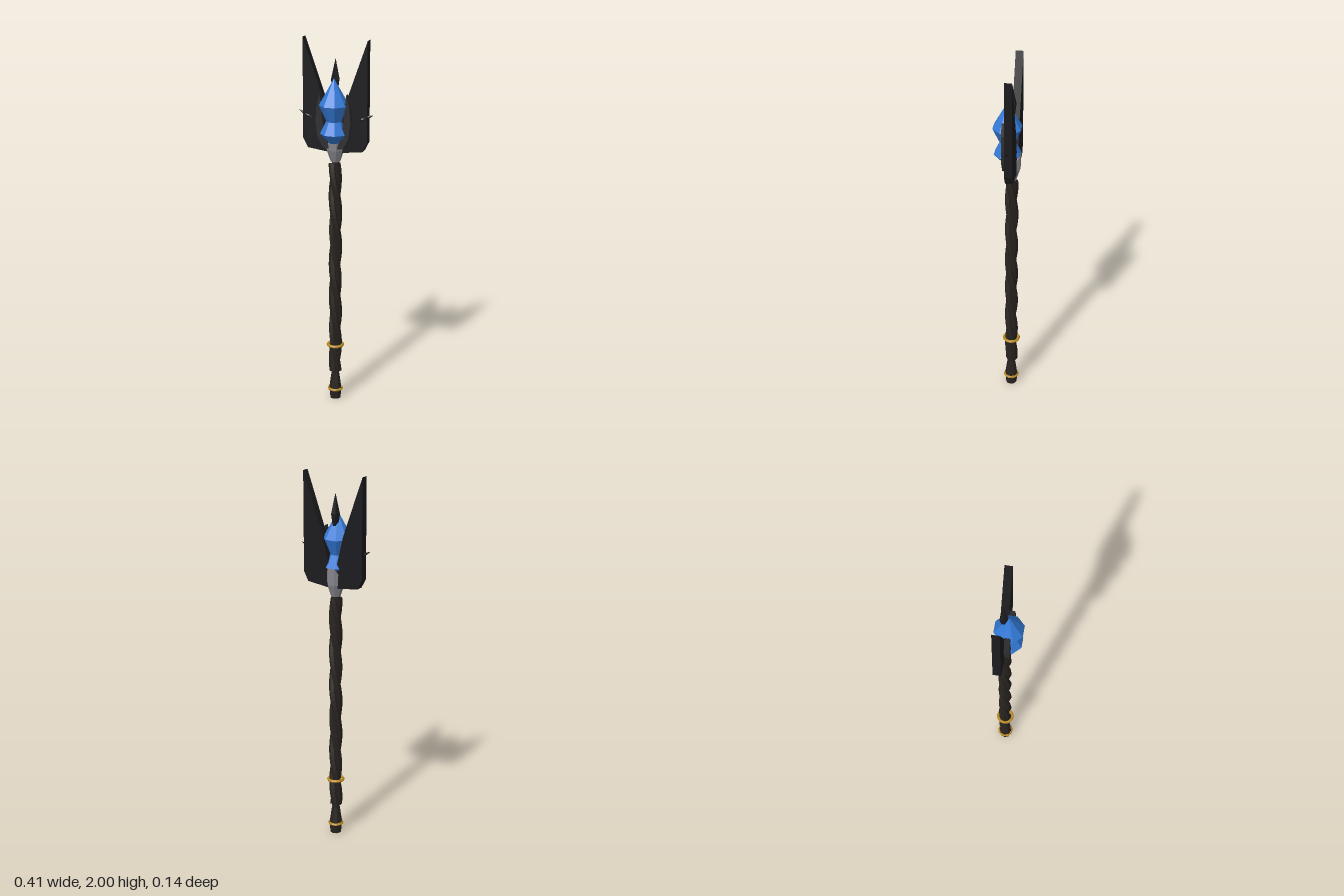
import * as THREE from 'three';

const mat = (color) => new THREE.MeshStandardMaterial({ color, flatShading: true, side: THREE.DoubleSide });
const wood = mat(0x28231f), black = mat(0x1b1b1f), iron = mat(0x2e2e32);
const silver = mat(0x85858c), gold = mat(0xb8891f), blue = mat(0x347ad8);
const AXIS_Z = -0.022; // the shaft sits slightly behind the crystal

export function createModel() {
  const model = new THREE.Group();
  const add = (name, geometry, material, x = 0, y = 0, z = AXIS_Z) => {
    const mesh = new THREE.Mesh(geometry, material);
    mesh.name = name;
    mesh.position.set(x, y, z);
    model.add(mesh);
    return mesh;
  };
  const lathe = (points, sides, start = 0) =>
    new THREE.LatheGeometry(points.map(([r, y]) => new THREE.Vector2(r, y)), sides, start);
  // flat plate from an outline, mirrored for the other side
  const plate = (points, side, depth) => new THREE.ExtrudeGeometry(
    new THREE.Shape(points.map(([x, y]) => new THREE.Vector2(x * side, y))),
    { depth, bevelEnabled: false });

  // shaft of three twisted strands
  for (let s = 0; s < 3; s++) {
    const points = [];
    for (let i = 0; i <= 36; i++) {
      const t = i / 36, a = t * Math.PI * 4.2 + s * Math.PI * 2 / 3;
      points.push(new THREE.Vector3(Math.cos(a) * 0.017, 0.165 + t * 1.18, Math.sin(a) * 0.017));
    }
    add('shaftStrand', new THREE.TubeGeometry(new THREE.CatmullRomCurve3(points), 48, 0.019, 6), wood);
  }
  add('shaftCore', new THREE.CylinderGeometry(0.02, 0.02, 1.24, 8), wood, 0, 0.75);

  // pommel and gold rings
  add('pommel', lathe([[0, 0], [0.03, 0], [0.035, 0.06], [0.022, 0.15], [0, 0.15]], 8), wood);
  for (const [y, r] of [[0.055, 0.034], [0.317, 0.04]]) {
    add('goldRing', new THREE.TorusGeometry(r, 0.008, 6, 20).rotateX(Math.PI / 2), gold, 0, y);
  }

  // socket whose rim rises toward the back
  const socket = lathe([[0, 1.355], [0.025, 1.355], [0.047, 1.42], [0.05, 1.46], [0.04, 1.46], [0, 1.42]], 8, Math.PI / 8);
  const p = socket.attributes.position;
  for (let i = 0; i < p.count; i++) {
    if (p.getY(i) > 1.45 && p.getZ(i) < -0.03) p.setY(i, 1.51);
  }
  add('socket', socket, silver);

  // double crystal
  add('crystal', lathe([[0, 1.43], [0.072, 1.51], [0.04, 1.575], [0.078, 1.66], [0, 1.8]], 8, Math.PI / 8), blue, 0, 0, 0);

  // spike behind the crystal
  add('topSpike', lathe([[0, 1.62], [0.024, 1.79], [0, 1.9]], 5), black, 0, 0, -0.024);

  for (const side of [-1, 1]) {
    // tall blade
    add('blade', plate([[0.176, 2], [0.176, 1.47], [0.15, 1.42], [0.03, 1.405], [0.018, 1.5], [0.062, 1.68]],
      side, 0.04), black, 0, 0, -0.052);
    // curved prong holding the crystal
    add('prong', plate([[0.072, 1.72], [0.09, 1.65], [0.096, 1.57], [0.085, 1.49], [0.055, 1.435],
      [0.02, 1.43], [0.045, 1.5], [0.06, 1.6]], side, 0.028), iron, 0, 0, -0.01);
    // barb pointing out from the blade
    const barb = add('barb', lathe([[0, -0.06], [0.018, 0], [0, 0.068]], 5), black, side * 0.145, 1.59, -0.024);
    barb.rotation.z = -side * 1.15;
  }
  return model;
}
